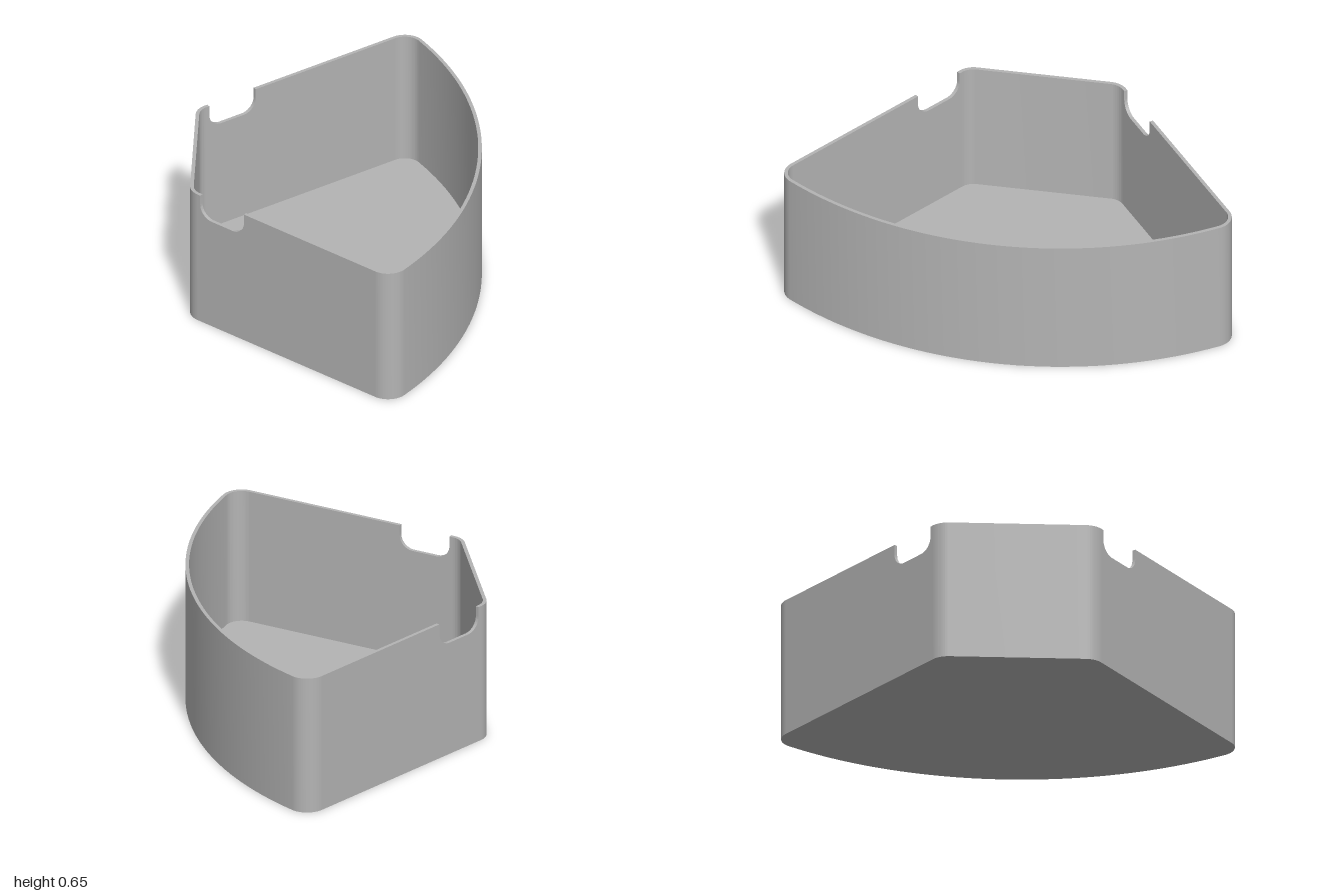
import * as THREE from 'three';
import { toCreasedNormals } from 'three/addons/utils/BufferGeometryUtils.js';

const HEIGHT = 0.65, WALL = 0.016, FLOOR = 0.02, R = 0.09;
// Centres of the corner roundings (mirrored in z) and of the big front arc
const NEAR = { x: -0.547, z: 0.30 }, FAR = { x: 0.26, z: 0.91 }, ARC_X = -1.049;
const slope = Math.atan2(FAR.z - NEAR.z, FAR.x - NEAR.x);
const sideLength = Math.hypot(FAR.z - NEAR.z, FAR.x - NEAR.x);
const sideAngle = Math.PI / 2 + slope;
const arcAngle = Math.atan2(FAR.z, FAR.x - ARC_X);
const arcRadius = Math.hypot(FAR.z, FAR.x - ARC_X) + R;

// Arc lists: [centre x, centre z, radius, start, end]
const narrowArcs = [
  [NEAR.x, NEAR.z, R, sideAngle, Math.PI],
  [NEAR.x, -NEAR.z, R, Math.PI, 2 * Math.PI - sideAngle],
];
const wideArcs = [
  [FAR.x, -FAR.z, R, -sideAngle, -arcAngle],
  [ARC_X, 0, arcRadius, -arcAngle, arcAngle],
  [FAR.x, FAR.z, R, arcAngle, sideAngle],
];

// Upright extrusion of a plan drawn in x and z
function extrudePlan(shape, height) {
  const geo = new THREE.ExtrudeGeometry(shape, { depth: height, bevelEnabled: false, curveSegments: 20 });
  geo.rotateX(Math.PI / 2).translate(0, height, 0);
  return toCreasedNormals(geo, 0.6);
}

// Band of wall thickness that follows a list of arcs, out and back
function wallPlan(arcs) {
  const shape = new THREE.Shape();
  arcs.forEach(([x, z, r, a, b]) => shape.absarc(x, z, r, a, b, false));
  [...arcs].reverse().forEach(([x, z, r, a, b]) => shape.absarc(x, z, r - WALL, b, a, true));
  return shape;
}

// Straight side wall with a round-bottomed notch in its top edge
function sideWallGeometry() {
  const a = 0.015, b = 0.264, bottom = 0.54, r = 0.065;
  const s = new THREE.Shape();
  s.moveTo(0, 0);
  s.lineTo(sideLength, 0);
  s.lineTo(sideLength, HEIGHT);
  s.lineTo(b, HEIGHT);
  s.absarc(b - r, bottom + r, r, 0, -Math.PI / 2, true);
  s.absarc(a + r, bottom + r, r, -Math.PI / 2, -Math.PI, true);
  s.lineTo(a, HEIGHT);
  s.lineTo(0, HEIGHT);
  const geo = new THREE.ExtrudeGeometry(s, { depth: WALL, bevelEnabled: false, curveSegments: 10 });
  return toCreasedNormals(geo, 0.6);
}

export function createModel() {
  const model = new THREE.Group();
  model.name = 'wedgeTray';
  const grey = new THREE.MeshStandardMaterial({ color: 0xb4b4b4 });
  grey.name = 'grey';

  const add = (name, geometry) => {
    const mesh = new THREE.Mesh(geometry, grey);
    mesh.name = name;
    model.add(mesh);
    return mesh;
  };

  // Curved walls at both ends
  add('narrowEndWall', extrudePlan(wallPlan(narrowArcs), HEIGHT));
  add('curvedEndWall', extrudePlan(wallPlan(wideArcs), HEIGHT));

  // Notched side walls, front and back
  const sideGeo = sideWallGeometry();
  for (const side of [1, -1]) {
    const wall = add(side > 0 ? 'frontSideWall' : 'backSideWall', sideGeo);
    const offset = side > 0 ? R - WALL : R;
    wall.position.set(
      NEAR.x - Math.sin(slope) * offset, 0,
      side * (NEAR.z + Math.cos(slope) * offset));
    wall.rotation.y = -side * slope;
  }

  // Floor inside the walls
  const floor = new THREE.Shape();
  [...wideArcs, ...narrowArcs].forEach(([x, z, r, a, b]) => floor.absarc(x, z, r - WALL, a, b, false));
  add('floor', extrudePlan(floor, FLOOR));

  return model;
}
